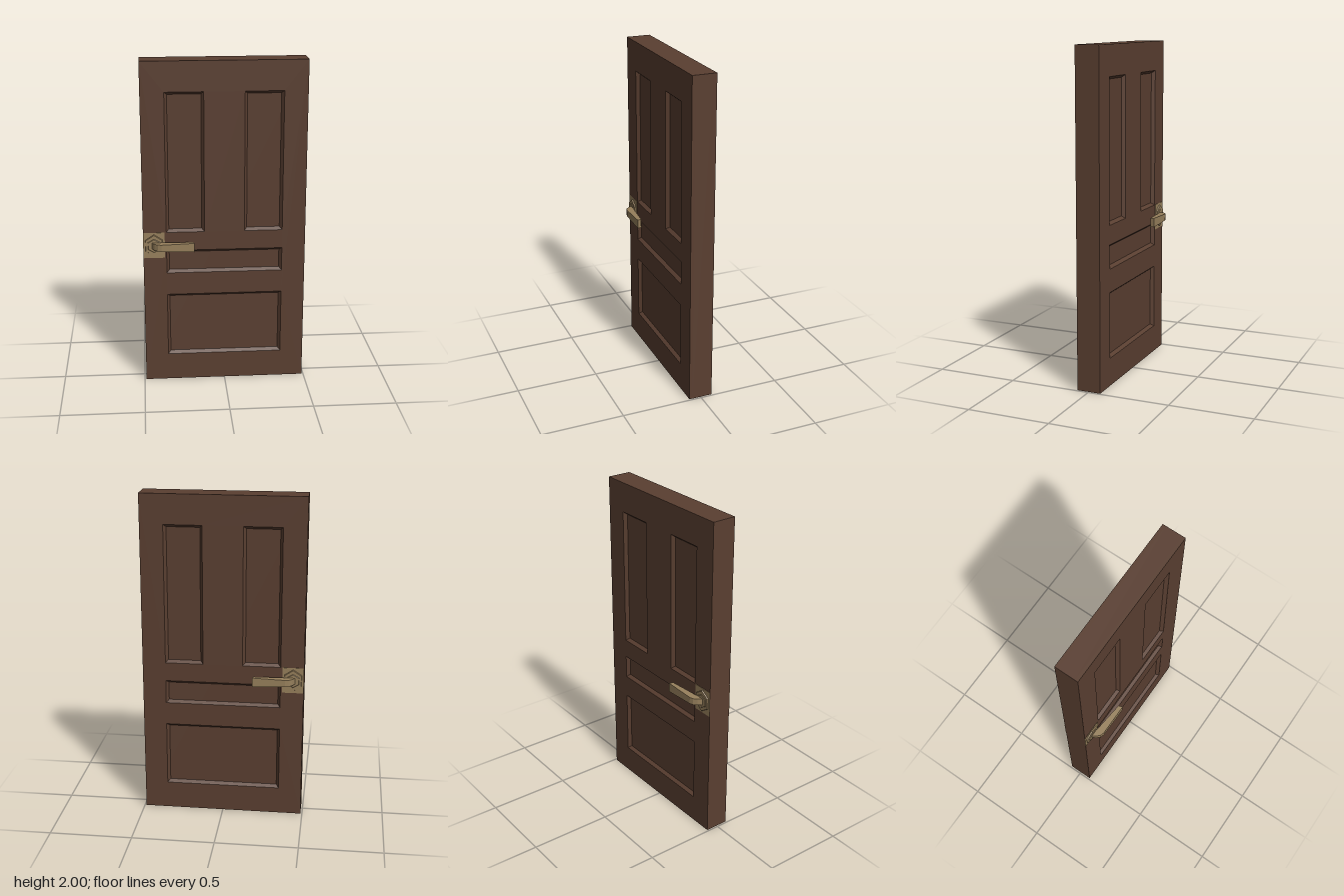
import * as THREE from 'three';

const W = 0.98, H = 2, HALF_T = 0.073; // door width, height, half thickness
const DEPTH = 0.02, BEVEL = 0.016;     // recess depth and bevel width
const HANDLE = { x: -0.425, y: 0.89 };

// recessed panels: x0, x1, y0, y1
const PANELS = [
  [-0.35, -0.12, 0.97, 1.82],
  [0.12, 0.35, 0.97, 1.82],
  [-0.35, 0.35, 0.71, 0.855],
  [-0.35, 0.35, 0.17, 0.57],
];

const rect = ([x0, x1, y0, y1], inset = 0) => [
  new THREE.Vector2(x0 + inset, y0 + inset),
  new THREE.Vector2(x1 - inset, y0 + inset),
  new THREE.Vector2(x1 - inset, y1 - inset),
  new THREE.Vector2(x0 + inset, y1 - inset),
];

// four sloping faces from the door surface down to the panel floor
function bevelGeometry(panel) {
  const outer = rect(panel), inner = rect(panel, BEVEL), pos = [];
  for (let i = 0; i < 4; i++) {
    const j = (i + 1) % 4;
    const a = [outer[i].x, outer[i].y, HALF_T], b = [outer[j].x, outer[j].y, HALF_T];
    const c = [inner[j].x, inner[j].y, HALF_T - DEPTH], d = [inner[i].x, inner[i].y, HALF_T - DEPTH];
    pos.push(...a, ...b, ...c, ...a, ...c, ...d);
  }
  const geo = new THREE.BufferGeometry();
  geo.setAttribute('position', new THREE.Float32BufferAttribute(pos, 3));
  geo.computeVertexNormals();
  return geo;
}

// lever outline seen from above, thickened vertically and flared toward the tip
function leverGeometry() {
  const outline = [
    [-0.44, 0.08], [-0.39, 0.087], [-0.19, 0.11], [-0.184, 0.135],
    [-0.38, 0.134], [-0.402, 0.128], [-0.422, 0.11],
  ].map(([x, z]) => new THREE.Vector2(x, -z));
  const geo = new THREE.ExtrudeGeometry(new THREE.Shape(outline), { depth: 1, bevelEnabled: false });
  geo.translate(0, 0, -0.5);
  geo.rotateX(-Math.PI / 2);
  const p = geo.attributes.position;
  for (let i = 0; i < p.count; i++) {
    const t = THREE.MathUtils.clamp((p.getX(i) + 0.44) / 0.255, 0, 1);
    p.setY(i, p.getY(i) * (0.038 + 0.018 * t));
  }
  geo.computeVertexNormals();
  return geo;
}

// six-sided disc facing forward, a corner at the top
function hexGeometry(rTop, rBase, depth) {
  const geo = new THREE.CylinderGeometry(rTop, rBase, depth, 6);
  geo.rotateX(Math.PI / 2);
  return geo;
}

export function createModel() {
  const wood = new THREE.MeshStandardMaterial({ color: 0x5a3f31, flatShading: true });
  wood.name = 'dark wood';
  const brass = new THREE.MeshStandardMaterial({ color: 0x97805c, flatShading: true });
  brass.name = 'aged brass';

  const model = new THREE.Group();
  model.name = 'door';
  const add = (parent, name, geo, mat, x = 0, y = 0, z = 0) => {
    const mesh = new THREE.Mesh(geo, mat);
    mesh.name = name;
    mesh.position.set(x, y, z);
    parent.add(mesh);
    return mesh;
  };

  // core slab, whose faces form the panel floors
  add(model, 'doorCore', new THREE.BoxGeometry(W, H, 2 * (HALF_T - DEPTH)), wood, 0, H / 2, 0);

  // outer frame with panel openings
  const shape = new THREE.Shape(rect([-W / 2, W / 2, 0, H]));
  PANELS.forEach((p) => shape.holes.push(new THREE.Path(rect(p).reverse())));
  const frameGeo = new THREE.ExtrudeGeometry(shape, { depth: DEPTH, bevelEnabled: false });
  const bevelGeos = PANELS.map(bevelGeometry);
  const lever = leverGeometry();

  for (const side of ['front', 'back']) {
    const face = new THREE.Group();
    face.name = side + 'Face';
    add(face, 'frame', frameGeo, wood, 0, 0, HALF_T - DEPTH);
    bevelGeos.forEach((g) => add(face, 'panelBevel', g, wood));
    if (side === 'back') face.rotation.y = Math.PI;
    model.add(face);

    // handle: backing plate, hexagonal rose, collar and lever
    const handle = new THREE.Group();
    handle.name = side + 'Handle';
    handle.position.y = HANDLE.y;
    add(handle, 'backingPlate', new THREE.BoxGeometry(0.13, 0.16, 0.004), brass, HANDLE.x, 0, HALF_T);
    const rose = add(handle, 'rose', hexGeometry(0.066, 0.07, 0.01), brass, HANDLE.x, 0, HALF_T + 0.005);
    rose.scale.x = 0.87;
    add(handle, 'collar', hexGeometry(0.04, 0.044, 0.004), brass, HANDLE.x, 0, HALF_T + 0.011);
    add(handle, 'lever', lever, brass);
    if (side === 'back') handle.rotation.x = Math.PI;
    model.add(handle);
  }
  return model;
}
